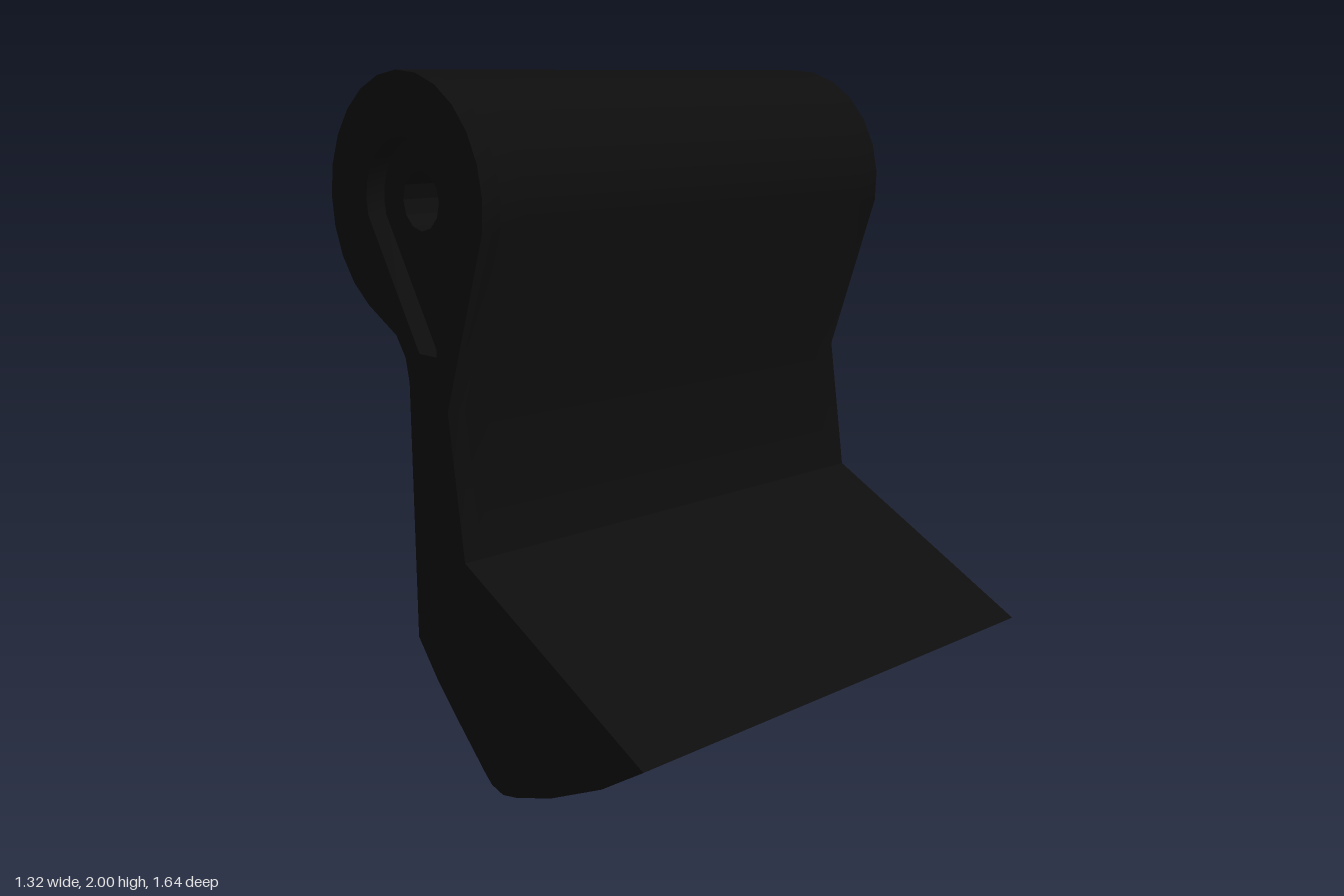
import * as THREE from 'three';
import { toCreasedNormals } from 'three/addons/utils/BufferGeometryUtils.js';

const HALF = 0.82;               // half length along z
const EYE = [-0.303, 1.64];      // centre of the pivot barrel
const RECESS = 0.06;             // depth of the pocket in the front end

// Underside points at the ends, and where they sit mid-length in the scooped hollow
const SCOOP = [
  [-0.303, 0.37, -0.303, 0.66],
  [-0.22, 0.265, -0.18, 0.53],
  [-0.12, 0.16, -0.03, 0.36],
  [0.0, 0.04, 0.16, 0.165],
  [0.03, 0.014, 0.25, 0.075],
  [0.08, 0.0, 0.27, 0.057],
];

function arc(radius, from, to, count) {
  const points = [];
  for (let i = 0; i <= count; i++) {
    const a = THREE.MathUtils.degToRad(from + ((to - from) * i) / count);
    points.push(new THREE.Vector2(EYE[0] + radius * Math.cos(a), EYE[1] + radius * Math.sin(a)));
  }
  return points;
}

const toPoints = (list) => list.map(([x, y]) => new THREE.Vector2(x, y));

// Side outline: ledge, neck, round barrel, straight back and underside
function outline() {
  return new THREE.Shape([
    ...toPoints([[0.66, 0.26], [-0.066, 0.648], [-0.125, 1.07]]),
    ...arc(0.361, -10, 238, 17),
    ...toPoints([[-0.36, 1.26], [-0.318, 1.2], [-0.303, 1.13]]),
    ...toPoints(SCOOP),
    ...toPoints([[0.14, 0.012], [0.29, 0.062], [0.5, 0.16]]),
  ]);
}

// Extrude the outline between two depths and hollow the underside by a rule
function slab(holePoints, z0, z1, steps) {
  const shape = outline();
  shape.holes.push(new THREE.Path(holePoints));
  const geometry = new THREE.ExtrudeGeometry(shape, { depth: z1 - z0, steps, bevelEnabled: false });
  geometry.translate(0, 0, z0);
  const p = geometry.attributes.position;
  for (let i = 0; i < p.count; i++) {
    const x = p.getX(i), y = p.getY(i);
    const t = 1 - (p.getZ(i) / HALF) ** 2;
    const s = SCOOP.find((q) => Math.abs(q[0] - x) < 1e-4 && Math.abs(q[1] - y) < 1e-4);
    if (s) p.setXY(i, x + (s[2] - x) * t, y + (s[3] - y) * t);
    else if (Math.abs(x - 0.14) < 1e-4 && y < 0.02) p.setXY(i, x + 0.137 * t, y + 0.046 * t);
  }
  return toCreasedNormals(geometry, THREE.MathUtils.degToRad(28));
}

export function createModel() {
  const black = new THREE.MeshStandardMaterial({ color: 0x0d0d0d });
  black.name = 'black';
  const group = new THREE.Group();
  group.name = 'pivotLever';

  // Main lever with the pin bore through its barrel
  const bore = arc(0.085, 0, 330, 11);
  const body = new THREE.Mesh(slab(bore, -HALF, HALF - RECESS, 18), black);
  body.name = 'leverBody';

  // Front end layer with a drop-shaped pocket around the bore
  const pocket = [...arc(0.18, -15, 195, 14), ...toPoints([[-0.25, 1.22], [-0.17, 1.22]])];
  const end = new THREE.Mesh(slab(pocket, HALF - RECESS, HALF, 1), black);
  end.name = 'frontEndWithPocket';

  group.add(body, end);
  return group;
}
